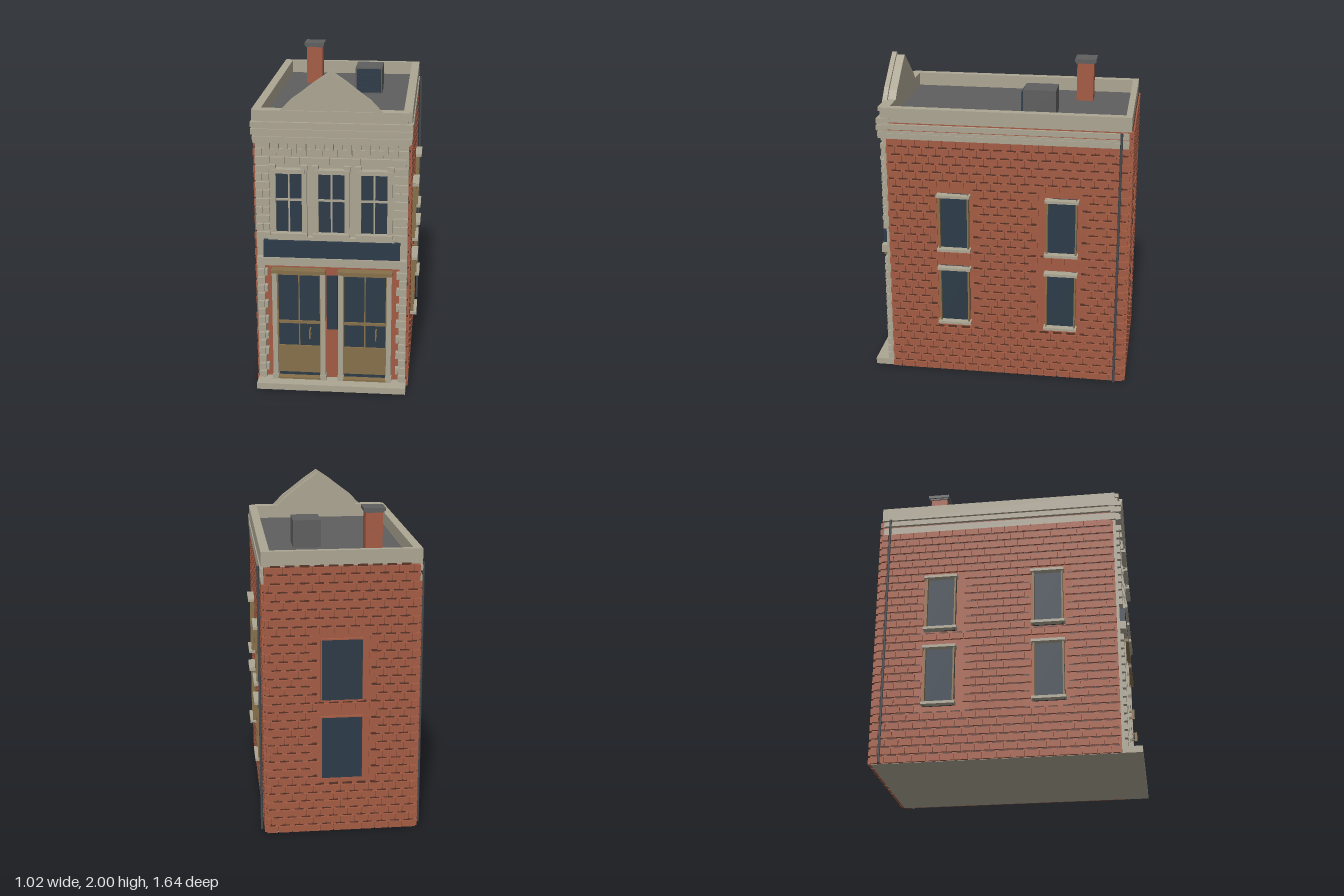
import * as THREE from 'three';
import { mergeGeometries } from 'three/addons/utils/BufferGeometryUtils.js';

export function createModel() {
  const root = new THREE.Group();
  root.name = 'shopBuilding';
  const mat = (name, color) => new THREE.MeshStandardMaterial({ name, color });
  const stone = mat('stone', 0xaca593), brick = mat('brick', 0xa35b43), mortar = mat('mortar', 0x573327),
    glass = mat('darkGlass', 0x2c3a47), wood = mat('wood', 0x86704a), roofGrey = mat('roofGrey', 0x5e5e5e),
    iron = mat('iron', 0x46494d);

  // Box geometry given by its limits
  const slab = (x0, x1, y0, y1, z0, z1) =>
    new THREE.BoxGeometry(x1 - x0, y1 - y0, z1 - z0).translate((x0 + x1) / 2, (y0 + y1) / 2, (z0 + z1) / 2);
  const add = (name, material, geos, parent = root) => {
    const m = new THREE.Mesh(Array.isArray(geos) ? mergeGeometries(geos) : geos, material);
    m.name = name;
    parent.add(m);
    return m;
  };
  const box = (name, material, ...lim) => add(name, material, slab(...lim));

  // Running-bond courses over a rectangle, leaving out the openings [u0,u1,v0,v1]
  function courses(u0, u1, v0, v1, openings, len = 0.085, pitch = 0.0525, gap = 0.012) {
    const out = [];
    for (let r = 0, v = v0; v + pitch <= v1 + 0.02; r++, v += pitch) {
      const top = Math.min(v + pitch - gap, v1);
      for (let u = u0 - (r % 2) * len / 2; u < u1 - 0.01; u += len) {
        const a = Math.max(u, u0), b = Math.min(u + len - 0.005, u1);
        if (b - a < 0.015) continue;
        if (openings.some(o => a < o[1] && b > o[0] && v < o[3] && top > o[2])) continue;
        out.push([a, b, v, top]);
      }
    }
    return out;
  }
  // Dark bed joint above each brick, shorter than the brick
  const joints = bricks => bricks.filter(([a, b]) => b - a > 0.05)
    .map(([a, b, , t]) => [a + 0.012, b - 0.012, t, t + 0.012]);

  // Walls, foundation and roof
  box('wallCore', brick, -0.457, 0.457, 0.004, 1.67, -0.8, 0.7);
  box('foundation', stone, -0.457, 0.457, 0, 0.004, -0.8, 0.7);
  box('roof', roofGrey, -0.42, 0.42, 1.67, 1.676, -0.765, 0.675);

  // Side walls: bricks, windows, bands, drainpipes
  const floors = [[0.35, 0.74], [0.85, 1.225]];
  const bays = [[0.185, 0.375], [-0.49, -0.3]];
  const sideHoles = bays.flatMap(b => floors.map(f => [b[0] - 0.012, b[1] + 0.012, f[0], f[1]]));
  const sideBricks = courses(-0.8, 0.7, 0.002, 1.565, sideHoles);
  for (const s of [1, -1]) {
    const side = new THREE.Group();
    side.name = s > 0 ? 'leftSide' : 'rightSide';
    root.add(side);
    const sx = (x0, x1, ...rest) => slab(Math.min(s * x0, s * x1), Math.max(s * x0, s * x1), ...rest);
    add('sideBricks', brick, sideBricks.map(([a, b, v, t]) => sx(0.45, 0.472, v, t, a, b)), side);
    add('sideMortar', mortar, joints(sideBricks).map(([a, b, v, t]) => sx(0.45, 0.464, v, t, a, b)), side);
    for (const [z0, z1] of bays) for (const [y0, y1] of floors) {
      add('sideWindowGlass', glass, sx(0.45, 0.467, y0, y1, z0, z1), side);
      add('sideWindowFrame', wood, [z0, z1 - 0.01].map(z => sx(0.45, 0.492, y0, y1, z, z + 0.01)), side);
      add('sideSillAndLintel', stone, [y0, y1 - 0.017].map(y =>
        sx(0.45, 0.51, y, y + 0.017, z0 - 0.01, z1 + 0.01)), side);
    }
    add('sideBands', stone, [
      sx(0.44, 0.472, 1.565, 1.6, -0.79, 0.72), sx(0.44, 0.466, 1.6, 1.615, -0.79, 0.72),
      sx(0.44, 0.476, 1.625, 1.658, -0.79, 0.72)], side);
    const pipe = add('drainpipe', iron, new THREE.CylinderGeometry(0.008, 0.008, 1.665, 10), side);
    pipe.position.set(s * 0.487, 0.8325, -0.745);
    add('pipeClips', iron, [0.25, 0.8, 1.35].map(y => sx(0.46, 0.488, y, y + 0.012, -0.753, -0.737)), side);
    add('sideParapet', stone, sx(0.42, 0.472, 1.67, 1.76, -0.8, 0.72), side);
  }

  // Back wall
  const backBricks = courses(-0.457, 0.457, 0.002, 1.665, floors.map(f => [-0.125, 0.125, f[0], f[1]]));
  add('backBricks', brick, backBricks.map(([a, b, v, t]) => slab(a, b, v, t, -0.817, -0.79)));
  add('backMortar', mortar, joints(backBricks).map(([a, b, v, t]) => slab(a, b, v, t, -0.808, -0.79)));
  for (const [y0, y1] of floors) {
    box('backWindowGlass', glass, -0.122, 0.122, y0, y1, -0.811, -0.79);
    add('backWindowFrame', brick, [
      slab(-0.13, -0.122, y0 - 0.008, y1 + 0.008, -0.817, -0.79), slab(0.122, 0.13, y0 - 0.008, y1 + 0.008, -0.817, -0.79),
      slab(-0.122, 0.122, y1, y1 + 0.008, -0.817, -0.79), slab(-0.122, 0.122, y0 - 0.008, y0, -0.817, -0.79)]);
  }
  box('backParapet', stone, -0.472, 0.472, 1.67, 1.76, -0.803, -0.765);

  // Front wall: stone facing and blocks
  box('frontStep', stone, -0.46, 0.46, 0, 0.04, 0.69, 0.82);
  add('frontFacing', stone, [slab(-0.455, 0.455, 0.8, 1.67, 0.69, 0.718),
    slab(-0.455, -0.41, 0.04, 0.8, 0.69, 0.718), slab(0.41, 0.455, 0.04, 0.8, 0.69, 0.718)]);
  const pierBlocks = [...courses(0, 0.045, 0.042, 0.8, [], 0.09), ...courses(0, 0.082, 0.965, 1.42, [], 0.09)];
  // alternate long corner blocks at shop level
  for (let y = 0.0945; y < 0.75; y += 0.105) pierBlocks.push([0.045, 0.062, y, y + 0.04]);
  add('frontBlocks', stone, [
    ...pierBlocks.flatMap(([a, b, v, t]) => [slab(-0.455 + a, -0.455 + b, v, t, 0.69, 0.738),
      slab(0.455 - b, 0.455 - a, v, t, 0.69, 0.738)]),
    ...courses(-0.455, 0.455, 1.435, 1.56, [], 0.09).map(([a, b, v, t]) => slab(a, b, v, t, 0.71, 0.738))]);

  // Shopfront doors
  for (const s of [1, -1]) {
    const door = new THREE.Group();
    door.name = s > 0 ? 'leftDoor' : 'rightDoor';
    door.position.x = s * 0.2025;
    root.add(door);
    add('doorGlass', glass, slab(-0.135, 0.135, 0.045, 0.745, 0.69, 0.714), door);
    add('doorPosts', stone, [-1, 1].flatMap(k => [
      slab(k * 0.148 - 0.015, k * 0.148 + 0.015, 0.04, 0.755, 0.69, 0.745),
      slab(k * 0.148 - 0.019, k * 0.148 + 0.019, 0.04, 0.07, 0.69, 0.75)]), door);
    add('doorPanel', wood, slab(-0.133, 0.133, 0.08, 0.26, 0.7, 0.724), door);
    add('doorRails', wood, [slab(-0.133, 0.133, 0.41, 0.427, 0.7, 0.726), slab(-0.004, 0.004, 0.26, 0.745, 0.7, 0.722),
      slab(-0.135, -0.127, 0.05, 0.745, 0.7, 0.724), slab(0.127, 0.135, 0.05, 0.745, 0.7, 0.724),
      slab(-0.133, 0.133, 0.045, 0.056, 0.7, 0.755)], door);
    add('doorHeader', wood, [slab(-0.165, 0.165, 0.75, 0.77, 0.69, 0.762),
      slab(-0.135, 0.135, 0.735, 0.75, 0.69, 0.74)], door);
    add('doorHandle', wood, [slab(0.066, 0.074, 0.33, 0.39, 0.755, 0.772),
      slab(0.066, 0.074, 0.335, 0.343, 0.71, 0.76), slab(0.066, 0.074, 0.377, 0.385, 0.71, 0.76)], door);
  }
  box('middlePane', glass, -0.034, 0.034, 0.37, 0.725, 0.69, 0.708);

  // Shop cornice and blank signboard
  box('shopCornice', stone, -0.452, 0.452, 0.8, 0.85, 0.69, 0.755);
  box('signboard', glass, -0.412, 0.412, 0.852, 0.957, 0.71, 0.75);

  // Upper windows
  box('upperSill', stone, -0.38, 0.38, 0.965, 0.985, 0.7, 0.752);
  for (const x of [-0.255, 0, 0.255]) {
    const win = new THREE.Group();
    win.name = 'upperWindow';
    win.position.x = x;
    root.add(win);
    add('upperGlass', glass, slab(-0.078, 0.078, 1.01, 1.385, 0.7, 0.721), win);
    add('upperBars', stone, [slab(-0.005, 0.005, 1.01, 1.385, 0.71, 0.73), slab(-0.078, 0.078, 1.207, 1.219, 0.71, 0.732)], win);
    add('upperFrame', stone, [
      slab(-0.108, -0.078, 0.985, 1.42, 0.7, 0.742), slab(0.078, 0.108, 0.985, 1.42, 0.7, 0.742),
      slab(-0.11, 0.11, 0.985, 1.01, 0.7, 0.765), slab(-0.1, 0.1, 1.385, 1.41, 0.7, 0.768),
      slab(-0.116, -0.076, 1.4, 1.432, 0.7, 0.756), slab(0.076, 0.116, 1.4, 1.432, 0.7, 0.756)], win);
  }

  // Dentils and cornice bands
  const dentils = [];
  for (let i = -7; i <= 7; i++) {
    dentils.push(slab(i * 0.054 - 0.013, i * 0.054 + 0.013, i % 2 ? 1.525 : 1.505, 1.568, 0.7, 0.75));
  }
  add('dentils', stone, dentils);
  add('frontCornice', stone, [
    slab(-0.462, 0.462, 1.565, 1.603, 0.69, 0.752), slab(-0.455, 0.455, 1.603, 1.615, 0.69, 0.742),
    slab(-0.476, 0.476, 1.615, 1.65, 0.69, 0.756), slab(-0.462, 0.462, 1.65, 1.662, 0.69, 0.745),
    slab(-0.476, 0.476, 1.662, 1.692, 0.675, 0.755)]);
  add('frontParapet', stone, [slab(-0.447, 0.447, 1.69, 1.74, 0.675, 0.735), slab(-0.457, 0.457, 1.735, 1.76, 0.675, 0.745)]);

  // Gable with a raised front rim
  const half = [[0.315, 1.745], [0.275, 1.785], [0.235, 1.828], [0.18, 1.868], [0.09, 1.938], [0, 2.0]];
  const outline = [...half, ...half.slice(0, -1).reverse().map(([x, y]) => [-x, y])];
  const inner = outline.map(([x, y]) => [x * 0.97, y - 0.018]);
  const extrude = (pts, z, depth) => new THREE.ExtrudeGeometry(
    new THREE.Shape(pts.map(p => new THREE.Vector2(...p))), { depth, bevelEnabled: false }).translate(0, 0, z);
  add('gable', stone, extrude([[-0.306, 1.68], [0.306, 1.68], ...inner], 0.675, 0.06));
  add('gableRim', stone, extrude([...outline, ...inner.slice().reverse()], 0.725, 0.03));

  // Chimney
  box('chimney', brick, -0.277, -0.173, 1.67, 1.93, -0.522, -0.415);
  box('chimneyCap', roofGrey, -0.292, -0.16, 1.932, 1.952, -0.538, -0.402);
  box('chimneyCapLower', roofGrey, -0.284, -0.167, 1.922, 1.934, -0.53, -0.408);

  // Roof ventilation unit with louvres
  box('ventUnit', roofGrey, 0.075, 0.247, 1.67, 1.846, -0.325, -0.122);
  box('ventGrille', glass, 0.083, 0.239, 1.685, 1.838, -0.13, -0.117);
  add('ventLouvres', glass, Array.from({ length: 8 }, (_, i) =>
    slab(0.083, 0.239, 1.69 + i * 0.018, 1.698 + i * 0.018, -0.125, -0.107)));

  return root;
}
